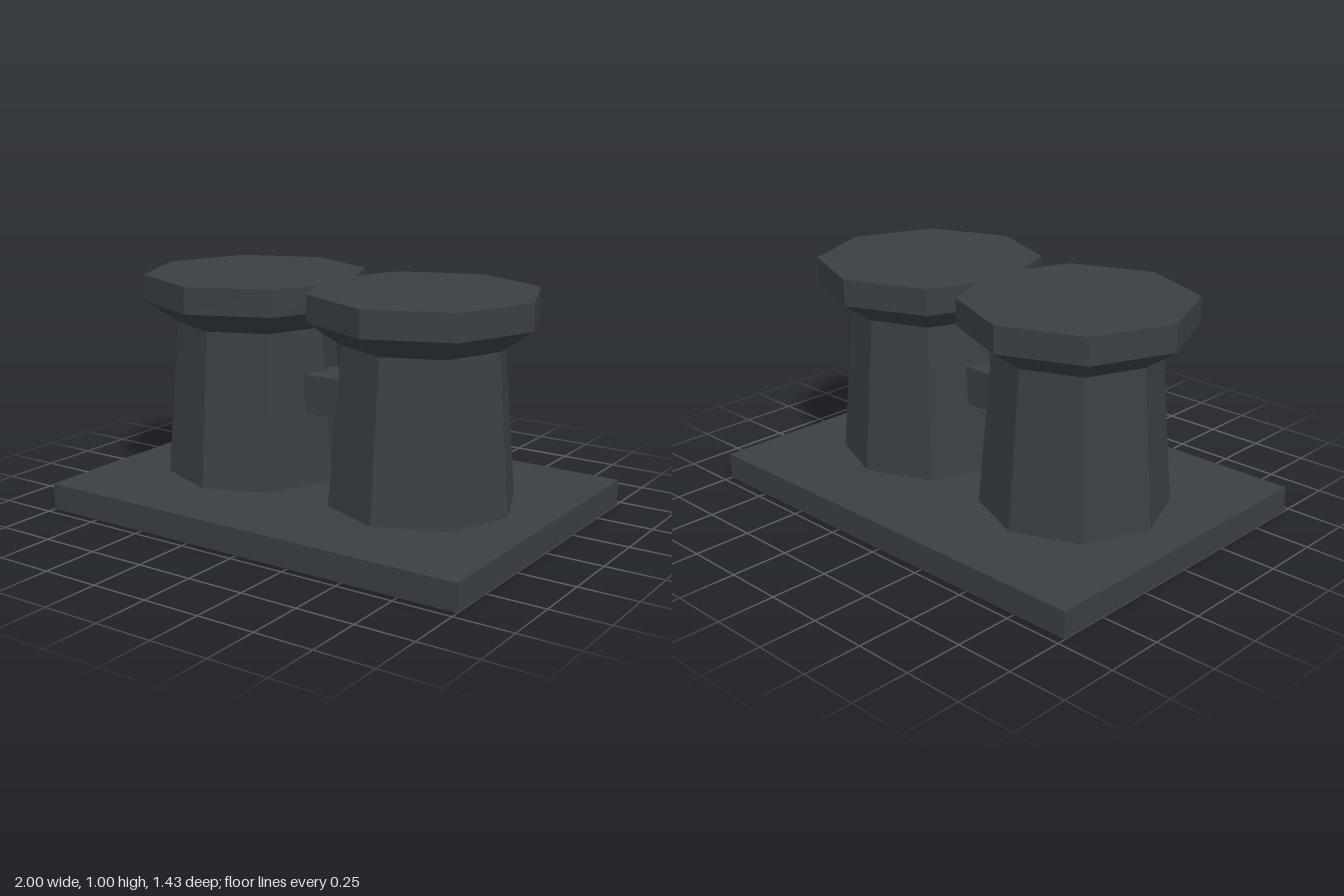
import * as THREE from 'three';

const iron = new THREE.MeshStandardMaterial({ color: 0x3a3f44 });
iron.name = 'dark iron';

// Adds a flat-shaded mesh
function addPart(parent, name, geometry, x, y, z) {
  const flat = geometry.toNonIndexed();
  flat.computeVertexNormals();
  const mesh = new THREE.Mesh(flat, iron);
  mesh.name = name;
  mesh.position.set(x, y, z);
  parent.add(mesh);
  return mesh;
}

// Eight-sided tapered section between two heights
function addSection(parent, name, rBottom, rTop, y0, y1, open) {
  const geometry = new THREE.CylinderGeometry(rTop, rBottom, y1 - y0, 8, 1, open);
  return addPart(parent, name, geometry, 0, (y0 + y1) / 2, 0);
}

// One mooring post: tapered shaft, flared collar and flat head
function makePost(name, x) {
  const post = new THREE.Group();
  post.name = name;
  post.position.x = x;
  addSection(post, 'shaft', 0.4, 0.345, 0.114, 0.79, true);
  addSection(post, 'collar', 0.345, 0.486, 0.79, 0.886, true);
  addSection(post, 'head', 0.486, 0.486, 0.886, 1, false);
  return post;
}

export function createModel() {
  const model = new THREE.Group();
  model.name = 'double bollard';

  // Base plate
  addPart(model, 'basePlate', new THREE.BoxGeometry(2, 0.114, 1.428), 0, 0.057, 0);

  // Pair of posts
  model.add(makePost('leftPost', 0.428), makePost('rightPost', -0.428));

  // Cross bar joining the shafts
  addPart(model, 'crossBar', new THREE.BoxGeometry(0.6, 0.17, 0.2), 0, 0.515, 0);

  return model;
}
